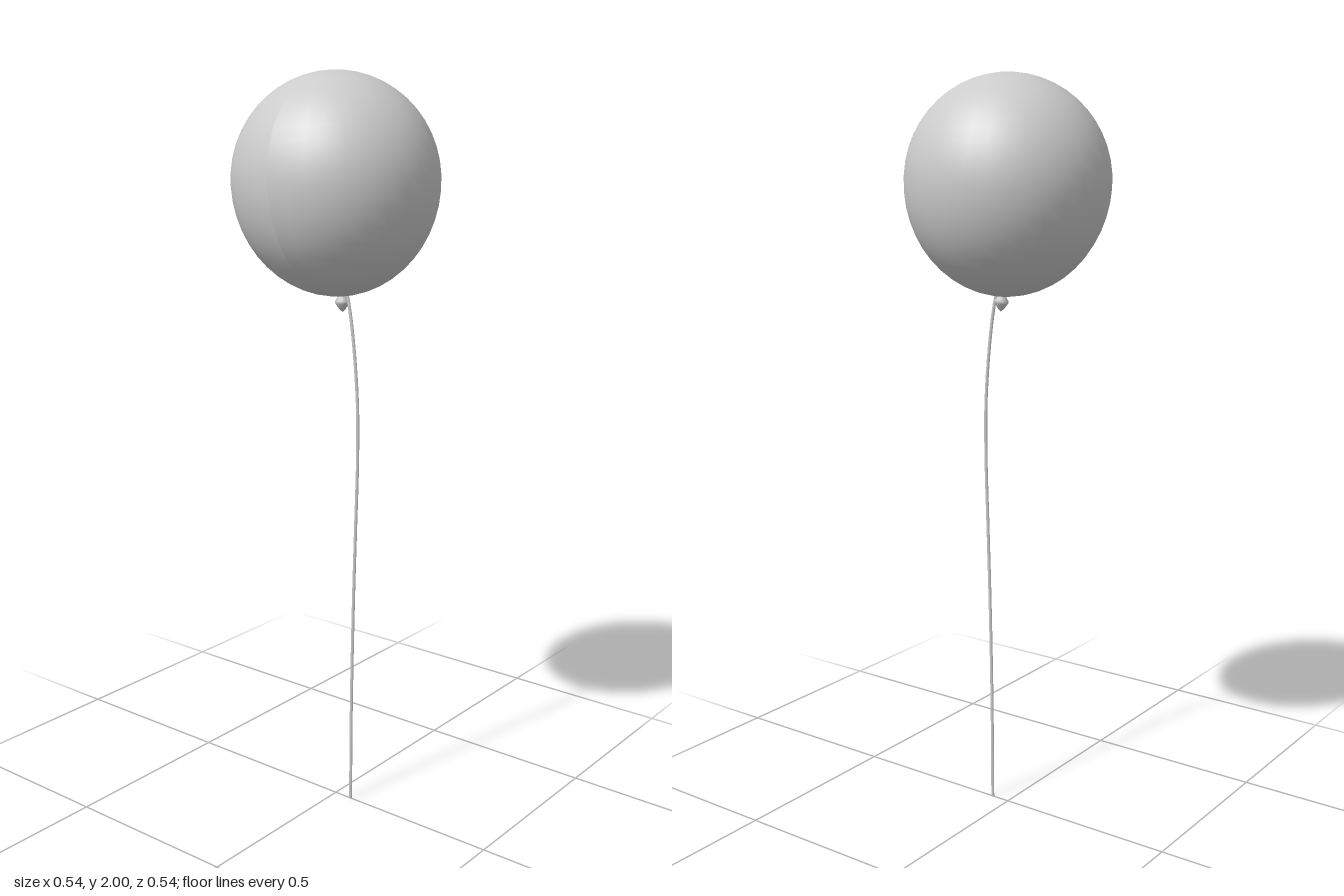
import * as THREE from 'three';

const grey = () => new THREE.MeshStandardMaterial({ color: 0xcccccc, side: THREE.DoubleSide });

function addMesh(parent, name, geometry) {
  const mesh = new THREE.Mesh(geometry, grey());
  mesh.name = name;
  parent.add(mesh);
  return mesh;
}

export function createModel() {
  const model = new THREE.Group();
  model.name = 'balloonOnString';

  // Slightly egg-shaped envelope: the lower half is longer than the upper half
  const envelope = new THREE.SphereGeometry(0.268, 32, 24);
  const pos = envelope.attributes.position;
  for (let i = 0; i < pos.count; i++) {
    const y = pos.getY(i);
    pos.setY(i, y * (y > 0 ? 0.272 : 0.295) / 0.268);
  }
  envelope.computeVertexNormals();
  const balloon = addMesh(model, 'balloon', envelope);
  balloon.position.set(0, 1.729, 0);
  balloon.rotation.x = -0.07;

  // Tied neck: small knot, wide at the top and closing to a point below
  const knotProfile = [[0, -0.021], [0.008, -0.014], [0.018, 0.001], [0.019, 0.008], [0.014, 0.014], [0.009, 0.03]]
    .map(([r, y]) => new THREE.Vector2(r, y));
  const knot = addMesh(model, 'knot', new THREE.LatheGeometry(knotProfile, 12));
  knot.position.set(0, 1.414, 0.021);
  knot.rotation.x = -0.07;

  // Thin string with a gentle forward bow
  const path = new THREE.CatmullRomCurve3([
    [0, 0.053], [0.3, 0.055], [0.6, 0.061], [0.8, 0.067], [1.0, 0.073],
    [1.15, 0.072], [1.3, 0.06], [1.4, 0.046], [1.445, 0.036],
  ].map(([y, z]) => new THREE.Vector3(0, y, z)));
  const string = addMesh(model, 'string', new THREE.TubeGeometry(path, 40, 0.0045, 6));
  string.scale.x = 0.8;

  return model;
}
